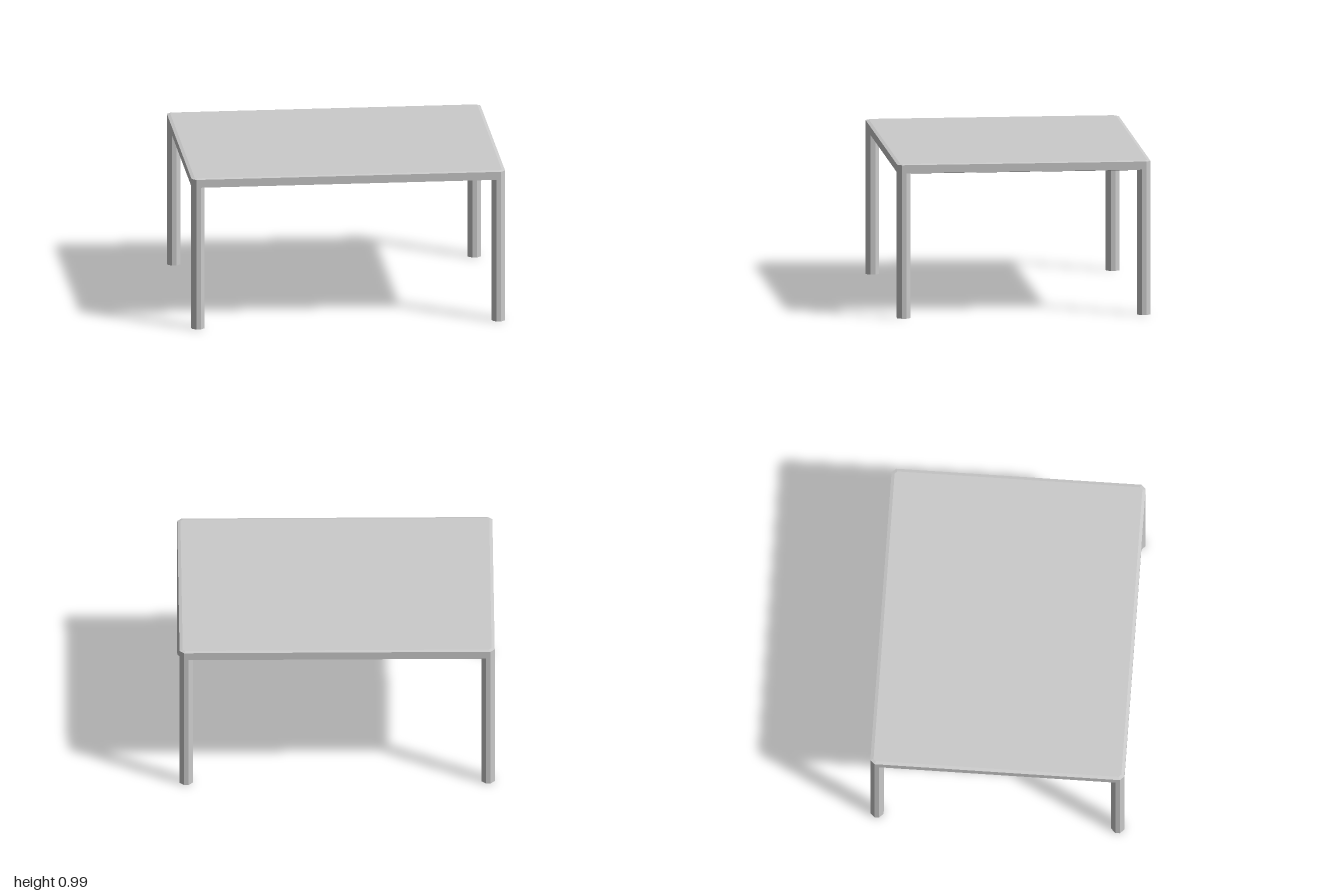
import * as THREE from 'three';

const HALF_X = 1, HALF_Z = 0.808;
const LEG_WIDTH = 0.084;
const CUT = LEG_WIDTH * (1 - Math.SQRT1_2 * 2 + 1) / 2 + 0.003; // corner chamfer, matching the leg facets
const SLAB_BOTTOM = 0.928, SLAB_TOP = 0.99;
const EDGE_DROP = 0.005, EDGE_INSET = 0.02;

const material = new THREE.MeshStandardMaterial({ color: 0xcccccc, flatShading: true });

// Rectangle with 45 degree corners
function chamferedRect(hx, hz, c) {
  return new THREE.Shape([
    [hx - c, -hz], [hx, -hz + c], [hx, hz - c], [hx - c, hz],
    [-hx + c, hz], [-hx, hz - c], [-hx, -hz + c], [-hx + c, -hz],
  ].map(([x, y]) => new THREE.Vector2(x, y)));
}

export function createModel() {
  const table = new THREE.Group();
  table.name = 'table';

  // Thin top with a shallow bevel around both faces
  const slab = new THREE.ExtrudeGeometry(chamferedRect(HALF_X, HALF_Z, CUT), {
    depth: SLAB_TOP - SLAB_BOTTOM - 2 * EDGE_DROP,
    bevelEnabled: true,
    bevelSegments: 1,
    bevelThickness: EDGE_DROP,
    bevelSize: EDGE_INSET,
    bevelOffset: -EDGE_INSET,
  });
  slab.rotateX(-Math.PI / 2);
  slab.translate(0, SLAB_BOTTOM + EDGE_DROP, 0);
  const top = new THREE.Mesh(slab, material);
  top.name = 'tableTop';
  table.add(top);

  // Octagonal legs flush with the corners
  const legHeight = SLAB_BOTTOM + EDGE_DROP;
  const half = LEG_WIDTH / 2;
  const legGeometry = new THREE.ExtrudeGeometry(chamferedRect(half, half, CUT), {
    depth: legHeight, bevelEnabled: false,
  });
  legGeometry.rotateX(-Math.PI / 2);
  for (const [sx, side] of [[1, 'Left'], [-1, 'Right']]) {
    for (const [sz, end] of [[1, 'front'], [-1, 'back']]) {
      const leg = new THREE.Mesh(legGeometry, material);
      leg.name = `${end}${side}Leg`;
      leg.position.set(sx * (HALF_X - half), 0, sz * (HALF_Z - half));
      table.add(leg);
    }
  }
  return table;
}
